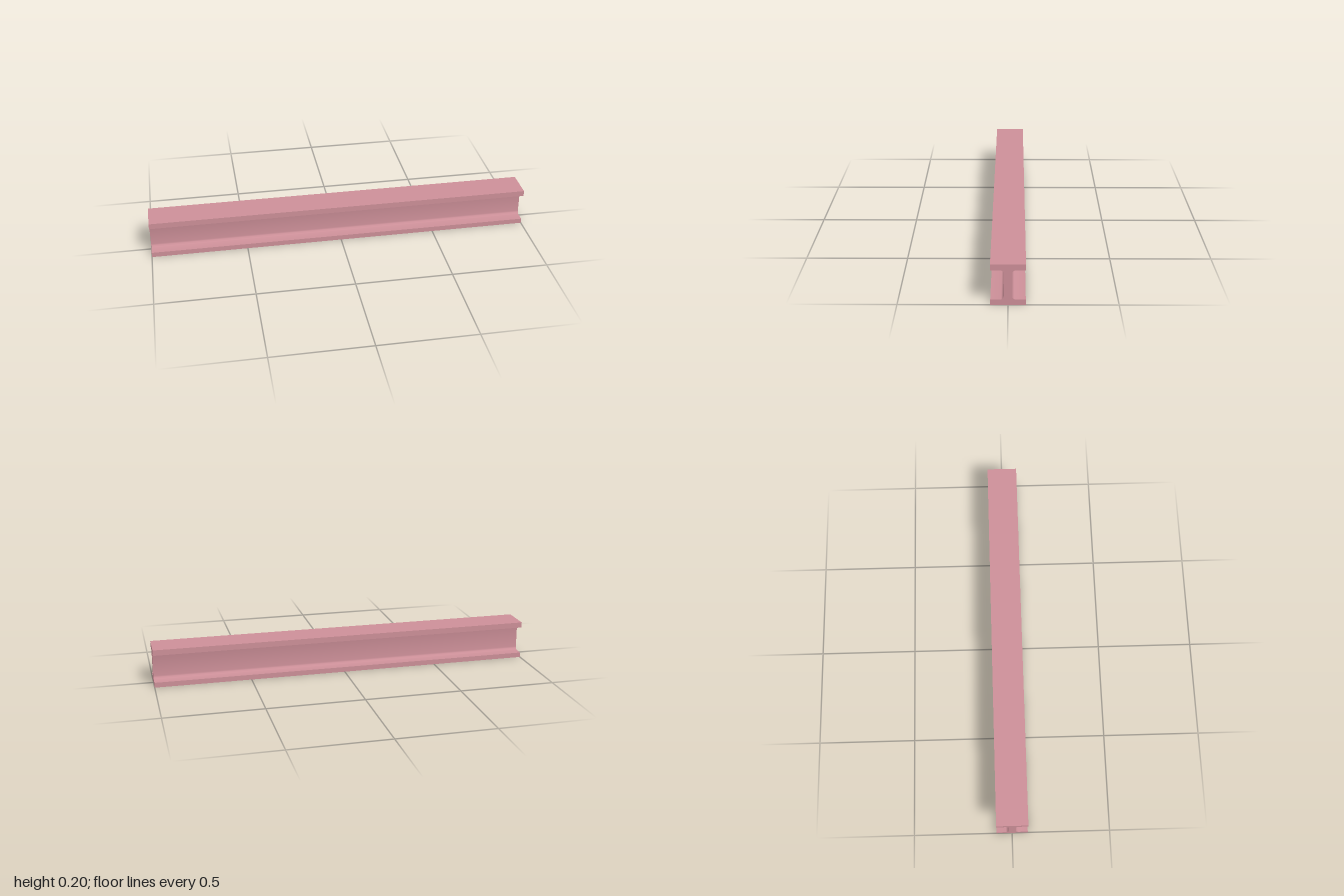
import * as THREE from 'three';
import { toCreasedNormals } from 'three/addons/utils/BufferGeometryUtils.js';

const LENGTH = 2, HEIGHT = 0.2;
const FLANGE = 0.08;   // half width of the flanges
const WEB = 0.019;     // half thickness of the web
const LOW = 0.026;     // upper face of the bottom flange
const HIGH = 0.171;    // lower face of the top flange
const FILLET = 0.017;  // radius where web meets flange

// I-shaped cross-section, counter-clockwise from the bottom left corner
function beamProfile() {
  const c = WEB + FILLET, q = Math.PI / 2;
  const s = new THREE.Shape();
  s.moveTo(-FLANGE, 0);
  s.lineTo(FLANGE, 0);
  s.lineTo(FLANGE, LOW);
  s.absarc(c, LOW + FILLET, FILLET, -q, -2 * q, true);
  s.absarc(c, HIGH - FILLET, FILLET, 2 * q, q, true);
  s.lineTo(FLANGE, HIGH);
  s.lineTo(FLANGE, HEIGHT);
  s.lineTo(-FLANGE, HEIGHT);
  s.lineTo(-FLANGE, HIGH);
  s.absarc(-c, HIGH - FILLET, FILLET, q, 0, true);
  s.absarc(-c, LOW + FILLET, FILLET, 0, -q, true);
  s.lineTo(-FLANGE, LOW);
  s.closePath();
  return s;
}

export function createModel() {
  const group = new THREE.Group();
  group.name = 'steelBeam';

  // Profile swept along x, with smooth fillets and sharp flange edges
  const geometry = new THREE.ExtrudeGeometry(beamProfile(), {
    depth: LENGTH, bevelEnabled: false, curveSegments: 3,
  });
  geometry.translate(0, 0, -LENGTH / 2);
  geometry.rotateY(Math.PI / 2);

  const beam = new THREE.Mesh(
    toCreasedNormals(geometry, 0.7),
    new THREE.MeshStandardMaterial({ color: 0xcc8f98 }),
  );
  beam.name = 'iBeam';
  group.add(beam);
  return group;
}
